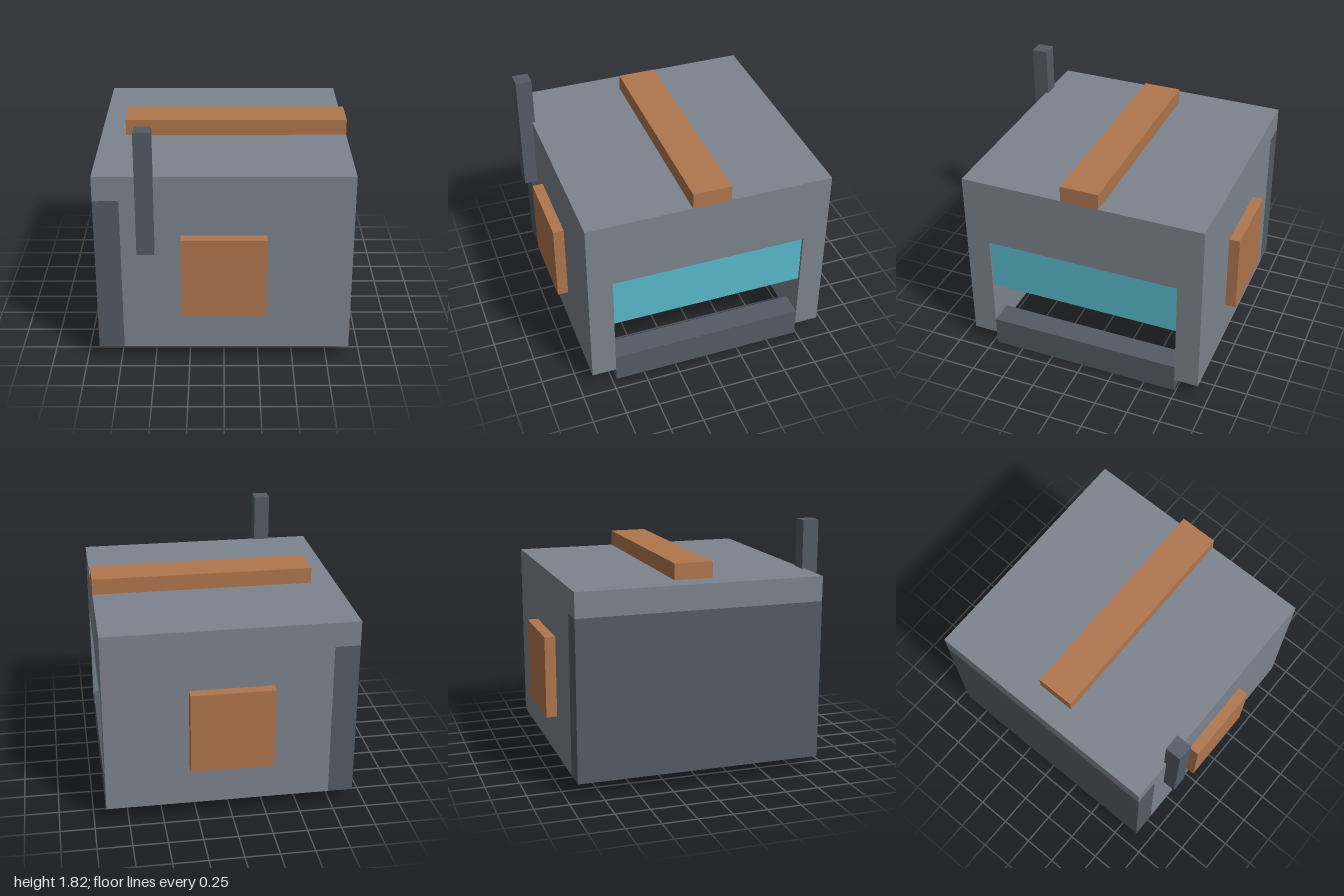
import * as THREE from 'three';

const mat = (name, color) => {
  const m = new THREE.MeshStandardMaterial({ color });
  m.name = name;
  return m;
};

export function createModel() {
  const shell = mat('steelGrey', 0x7d848e);
  const dark = mat('darkGrey', 0x545b65);
  const copper = mat('copper', 0xb0764d);
  const glass = mat('cyanGlass', 0x58b9cc);

  const model = new THREE.Group();
  model.name = 'boxHelmet';

  // Box spanning the given [min, max] ranges
  const block = (name, material, [x0, x1], [y0, y1], [z0, z1]) => {
    const mesh = new THREE.Mesh(new THREE.BoxGeometry(x1 - x0, y1 - y0, z1 - z0), material);
    mesh.position.set((x0 + x1) / 2, (y0 + y1) / 2, (z0 + z1) / 2);
    mesh.name = name;
    model.add(mesh);
  };

  const outerX = [-0.91, 0.91], outerZ = [-0.92, 0.9], innerZ = [-0.738, 0.718];
  const faceX = [0.727, 0.909];

  // Hollow shell, open underneath
  block('roof', shell, outerX, [1.277, 1.46], outerZ);
  block('nearWall', shell, [-0.727, 0.91], [0.103, 1.277], [innerZ[1], outerZ[1]]);
  block('farWall', shell, [-0.727, 0.91], [0.103, 1.277], [outerZ[0], innerZ[0]]);
  block('neckPlate', dark, [-0.91, -0.727], [0.103, 1.277], outerZ);

  // Face opening: brow, visor and chin bar
  block('brow', shell, [0.727, 0.91], [0.95, 1.277], innerZ);
  block('visor', glass, [0.707, 0.889], [0.55, 0.95], innerZ);
  block('chinBar', dark, faceX, [0, 0.225], innerZ);

  // Crest, ear plates and antenna
  block('crest', copper, [-0.727, 0.91], [1.46, 1.578], [-0.154, 0.13]);
  block('earPlate', copper, [-0.303, 0.303], [0.407, 1.012], [0.9, 0.98]);
  block('earPlate', copper, [-0.303, 0.303], [0.407, 1.012], [-1, -0.92]);
  block('antenna', dark, [-0.607, -0.487], [0.912, 1.82], [0.88, 1]);

  return model;
}
